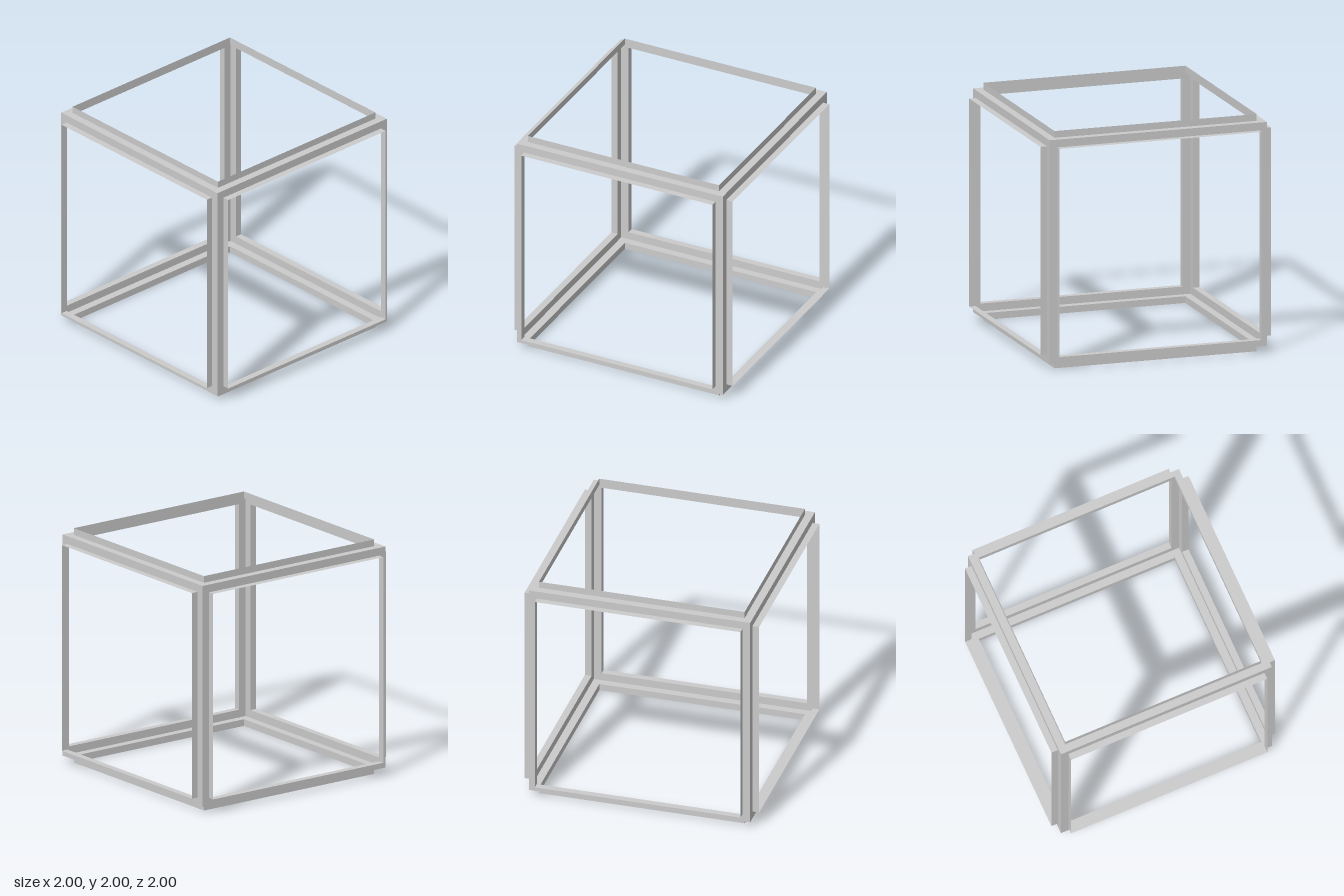
import * as THREE from 'three';

const SHELL = 0.943;   // half size of the cube frame
const HOLE = 0.877;    // half size of each square opening
const RIM = 1;         // how far the flanges reach from the centre

export function createModel() {
  const model = new THREE.Group();
  model.name = 'cubeFrame';
  const material = new THREE.MeshStandardMaterial({ color: 0xcccccc, side: THREE.DoubleSide, flatShading: true });

  // Flat square border with a square opening
  const square = (path, h) => path.moveTo(-h, -h).lineTo(h, -h).lineTo(h, h).lineTo(-h, h).closePath();
  const border = square(new THREE.Shape(), SHELL);
  border.holes.push(square(new THREE.Path(), HOLE));
  const borderGeometry = new THREE.ShapeGeometry(border);

  // Thin sheet standing outward along one side of the opening
  const flangeGeometry = new THREE.PlaneGeometry(2 * HOLE, RIM - SHELL);
  flangeGeometry.rotateX(-Math.PI / 2).translate(0, HOLE, (RIM + SHELL) / 2);

  // One side of the cube, built facing +z and then turned into place
  const addSide = (name, rx, ry) => {
    const side = new THREE.Group();
    side.name = name;
    const plate = new THREE.Mesh(borderGeometry, material);
    plate.name = 'borderPlate';
    plate.position.z = SHELL;
    side.add(plate);
    for (let i = 0; i < 4; i++) {
      const flange = new THREE.Mesh(flangeGeometry, material);
      flange.name = 'flange';
      flange.rotation.z = i * Math.PI / 2;
      side.add(flange);
    }
    side.rotation.set(rx, ry, 0);
    side.position.y = 1;
    model.add(side);
  };

  const q = Math.PI / 2;
  addSide('frontSide', 0, 0);
  addSide('leftSide', 0, q);
  addSide('backSide', 0, 2 * q);
  addSide('rightSide', 0, -q);
  addSide('topSide', -q, 0);
  addSide('bottomSide', q, 0);
  return model;
}
